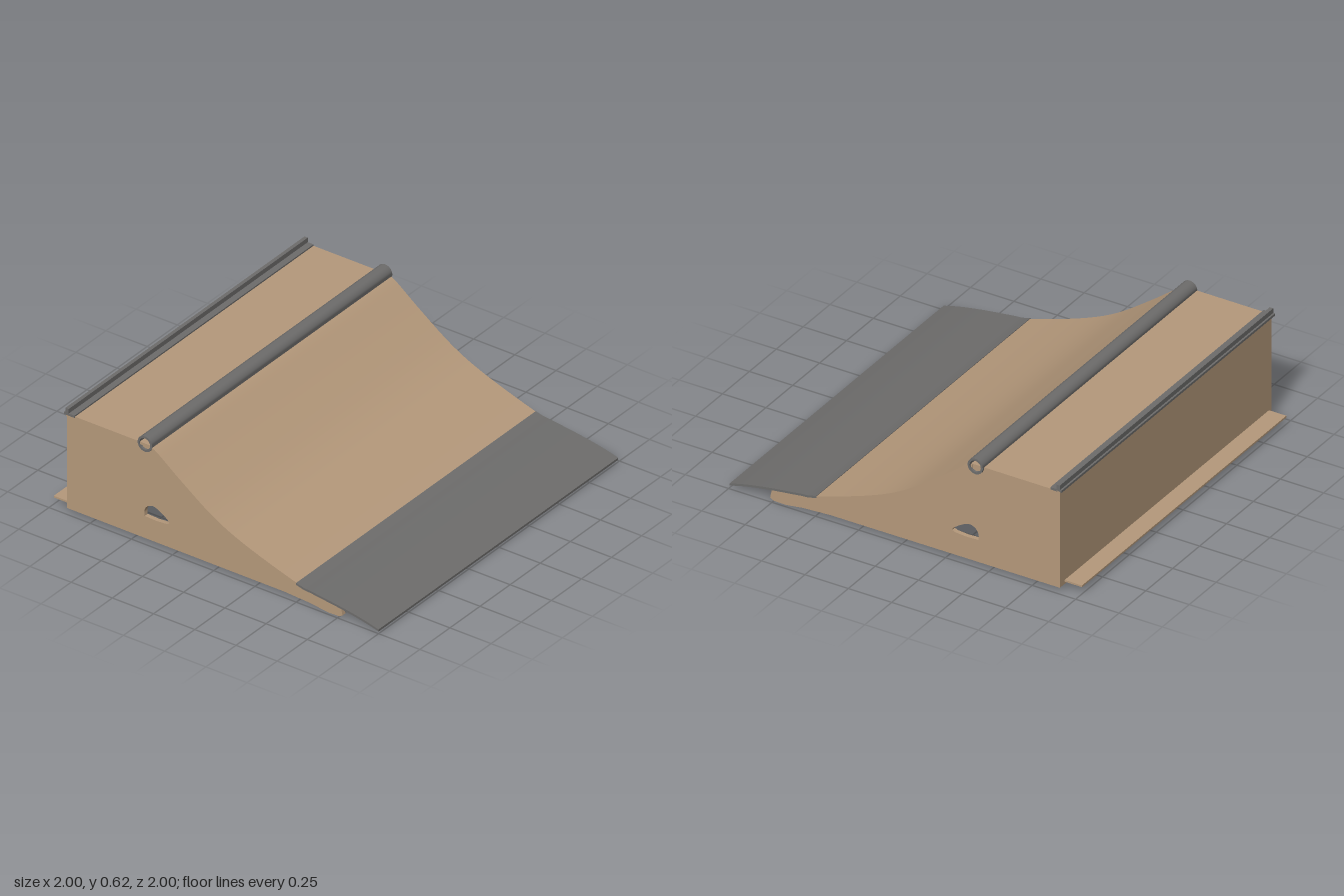
import * as THREE from 'three';
import { toCreasedNormals } from 'three/addons/utils/BufferGeometryUtils.js';

const wood = new THREE.MeshStandardMaterial({ color: 0xb5997b });
wood.name = 'plywood';
const steel = new THREE.MeshStandardMaterial({ color: 0x6d6c6b });
steel.name = 'steel';

// Curved riding surface as [z, y], from the top edge down to the floor
const curve = new THREE.SplineCurve([
  [-0.4, 0.578], [-0.35, 0.555], [-0.2, 0.442], [0, 0.305], [0.2, 0.212],
  [0.5, 0.112], [0.6, 0.095], [0.76, 0.074], [0.9, 0.05], [1, 0.025],
].map(([z, y]) => new THREE.Vector2(z, y)));
const samples = curve.getPoints(72);
const section = (z0, z1) => samples.filter((p) => p.x >= z0 && p.x <= z1);

// Extrude a [z, y] outline across the width, from x0 to x1
function across(points, x0, x1, hole) {
  const flip = (list) => list.map((p) => new THREE.Vector2(-p.x, p.y));
  const shape = new THREE.Shape(flip(points));
  if (hole) shape.holes.push(new THREE.Path(flip(hole)));
  const g = new THREE.ExtrudeGeometry(shape, { depth: x1 - x0, bevelEnabled: false });
  g.rotateY(Math.PI / 2).translate(x0, 0, 0);
  return toCreasedNormals(g, 0.5);
}

// Closed outline of a bent sheet hanging below a surface line
const sheet = (line, t) => [
  ...line,
  ...line.slice().reverse().map((p) => new THREE.Vector2(p.x, p.y - t)),
];

export function createModel() {
  const group = new THREE.Group();
  const add = (name, geometry, material) => {
    const mesh = new THREE.Mesh(geometry, material);
    mesh.name = name;
    group.add(mesh);
    return mesh;
  };
  const box = (name, material, [x0, x1], [y0, y1], [z0, z1]) => {
    const g = new THREE.BoxGeometry(x1 - x0, y1 - y0, z1 - z0);
    g.translate((x0 + x1) / 2, (y0 + y1) / 2, (z0 + z1) / 2);
    return add(name, g, material);
  };
  const v = (z, y) => new THREE.Vector2(z, y);

  // Side panels with an arched hand hole and a small front foot
  const outline = [
    v(-0.895, 0.03), v(-0.895, 0.57), v(-0.4, 0.57),
    ...section(-0.39, 0.77).map((p) => v(p.x, p.y - 0.012)),
    v(0.77, 0.018), v(0.75, 0.006), v(0.68, 0.004), v(0.58, 0.018), v(0.42, 0.027),
  ];
  const handHole = new THREE.SplineCurve([
    v(-0.43, 0.155), v(-0.432, 0.185), v(-0.415, 0.215), v(-0.38, 0.229),
    v(-0.34, 0.215), v(-0.29, 0.182), v(-0.28, 0.165),
  ]).getPoints(24);
  handHole.push(v(-0.295, 0.157), v(-0.36, 0.152));
  for (const x of [-0.985, 0.96]) {
    add(x < 0 ? 'rightSidePanel' : 'leftSidePanel', across(outline, x, x + 0.025, handHole), wood);
  }

  // Riding surface and the steel entry plate
  add('rampSurface', across(sheet(section(-0.4, 0.5), 0.016), -0.995, 0.99), wood);
  add('entryPlate', across(sheet(section(0.48, 1).map((p) => v(p.x, p.y + 0.003)), 0.012), -1, 0.99), steel);

  // Platform, back wall and the coupling strip at its foot
  box('platform', wood, [-0.995, 0.985], [0.565, 0.58], [-0.9, -0.39]);
  box('backWall', wood, [-0.985, 0.985], [0.03, 0.57], [-0.9, -0.88]);
  box('couplingStrip', wood, [-0.96, 0.94], [0.042, 0.052], [-1, -0.89]);

  // Steel angle along the rear edge
  box('rearEdgePlate', steel, [-1, 0.985], [0.575, 0.588], [-0.91, -0.845]);
  box('rearEdgeLip', steel, [-1, 0.985], [0.585, 0.614], [-0.9, -0.88]);

  // Cross bar under the entry plate
  box('frontCrossBar', steel, [-0.96, 0.96], [0.008, 0.03], [0.67, 0.75]);

  // Hollow coping pipe
  const ring = [[0.032, -0.9975], [0.044, -0.9975], [0.044, 0.9975], [0.032, 0.9975], [0.032, -0.9975]];
  const pipe = new THREE.LatheGeometry(ring.map(([r, y]) => v(r, y)), 28);
  const coping = add('copingPipe', toCreasedNormals(pipe, 0.6), steel);
  coping.rotation.z = -Math.PI / 2;
  coping.position.set(0, 0.578, -0.42);

  return group;
}
